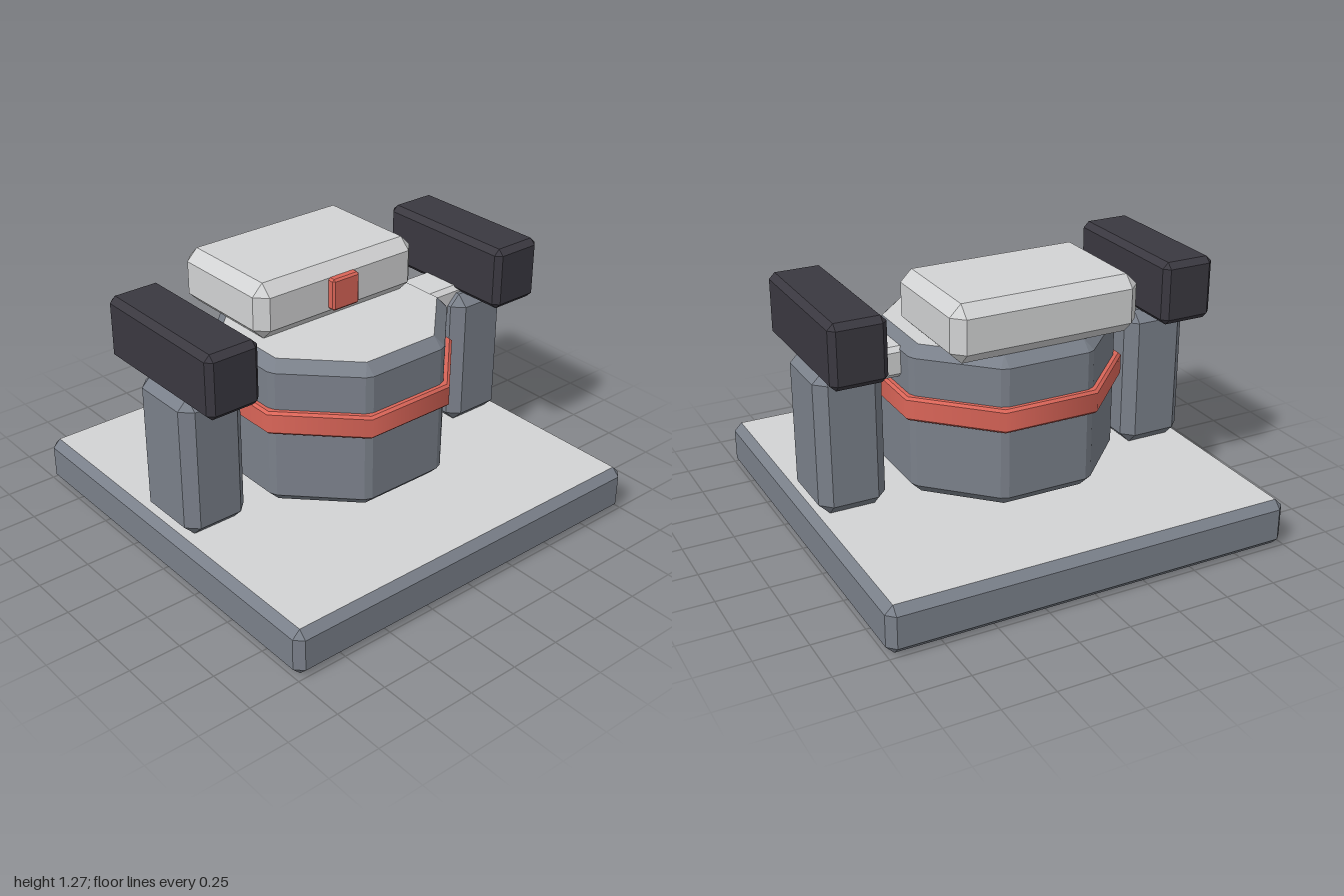
import * as THREE from 'three';
import { ConvexGeometry } from 'three/addons/geometries/ConvexGeometry.js';

const material = (name, color) => {
  const m = new THREE.MeshStandardMaterial({ color });
  m.name = name;
  return m;
};

// Convex prism standing on y0, with every edge chamfered by c.
// The outline is the flat top face, listed in order around the origin.
function chamferedPrism(outline, y0, y1, c) {
  const points = [];
  const n = outline.length;
  const outward = (a, b) => {
    const d = new THREE.Vector2(b.y - a.y, a.x - b.x).normalize();
    return d.dot(a) < 0 ? d.negate() : d;
  };
  outline.forEach((p, i) => {
    const sides = [outward(outline[(i + n - 1) % n], p), outward(p, outline[(i + 1) % n])];
    for (const y of [y0, y1]) points.push(new THREE.Vector3(p.x, y, p.y));
    for (const s of sides) {
      for (const y of [y0 + c, y1 - c]) points.push(new THREE.Vector3(p.x + s.x * c, y, p.y + s.y * c));
    }
  });
  return new ConvexGeometry(points);
}

function chamferedBox(x0, x1, y0, y1, z0, z1, c) {
  const a = (x1 - x0) / 2 - c, b = (z1 - z0) / 2 - c;
  const outline = [[a, b], [-a, b], [-a, -b], [a, -b]].map(([x, z]) => new THREE.Vector2(x, z));
  return chamferedPrism(outline, y0, y1, c).translate((x0 + x1) / 2, 0, (z0 + z1) / 2);
}

// Put flat top and bottom faces in group 1, all other faces in group 0
function groupCaps(geometry) {
  const pos = geometry.attributes.position, normal = geometry.attributes.normal;
  const sides = [], caps = [];
  for (let i = 0; i < pos.count; i += 3) {
    (Math.abs(normal.getY(i)) > 0.99 ? caps : sides).push(i, i + 1, i + 2);
  }
  geometry.setIndex([...sides, ...caps]);
  geometry.addGroup(0, sides.length, 0);
  geometry.addGroup(sides.length, caps.length, 1);
  return geometry;
}

export function createModel() {
  const model = new THREE.Group();
  model.name = 'turret';
  const grey = material('steel grey', 0x7a808a);
  const light = material('light grey', 0xd2d3d4);
  const dark = material('dark charcoal', 0x3a3840);
  const red = material('signal red', 0xda6558);

  const add = (name, geometry, mat, parent = model) => {
    const mesh = new THREE.Mesh(geometry, mat);
    mesh.name = name;
    parent.add(mesh);
    return mesh;
  };

  // Base plate and octagonal drum, both with light caps
  add('basePlate', groupCaps(chamferedBox(-1, 1, 0, 0.23, -1, 1, 0.038)), [grey, light]);

  const octagon = [];
  for (let i = 0; i < 8; i++) {
    const angle = (i + 0.5) * Math.PI / 4, r = 0.48 / Math.cos(Math.PI / 8);
    octagon.push(new THREE.Vector2(Math.cos(angle) * r, Math.sin(angle) * r));
  }
  add('drum', groupCaps(chamferedPrism(octagon, 0.27, 1.0, 0.05)), [grey, light]);

  // Red band: smooth eight-sided wall with bevelled rims
  const band = new THREE.Group();
  band.name = 'drumBand';
  model.add(band);
  const k = 1 / Math.cos(Math.PI / 8), outer = 0.56 * k, inner = 0.548 * k;
  const bandPart = (name, rTop, rBottom, h, y, open) => {
    const g = new THREE.CylinderGeometry(rTop, rBottom, h, 8, 1, open);
    add(name, g.rotateY(Math.PI / 8).translate(0, y, 0), red, band);
  };
  bandPart('bandWall', outer, outer, 0.09, 0.713, true);
  bandPart('bandTopRim', inner, outer, 0.012, 0.764, false);
  bandPart('bandBottomRim', outer, inner, 0.012, 0.662, false);

  // Head block and its red eye
  add('head', chamferedBox(-0.463, 0.463, 1.0, 1.272, -0.54, 0.07, 0.055), light);
  add('eye', chamferedBox(-0.077, 0.077, 1.062, 1.218, -0.02, 0.108, 0.01), red);

  // Side posts, arms and pods
  for (const [side, s] of [['left', 1], ['right', -1]]) {
    const box = (name, x0, x1, y0, y1, z, c, mat) =>
      add(side + name, chamferedBox(Math.min(s * x0, s * x1), Math.max(s * x0, s * x1), y0, y1, -z, z, c), mat);
    box('Post', 0.635, 0.96, 0.23, 0.93, 0.19, 0.053, grey);
    box('Arm', 0.5, 0.78, 0.815, 0.963, 0.117, 0.022, light);
    box('Pod', 0.692, 0.96, 0.927, 1.233, 0.383, 0.028, dark);
  }
  return model;
}
